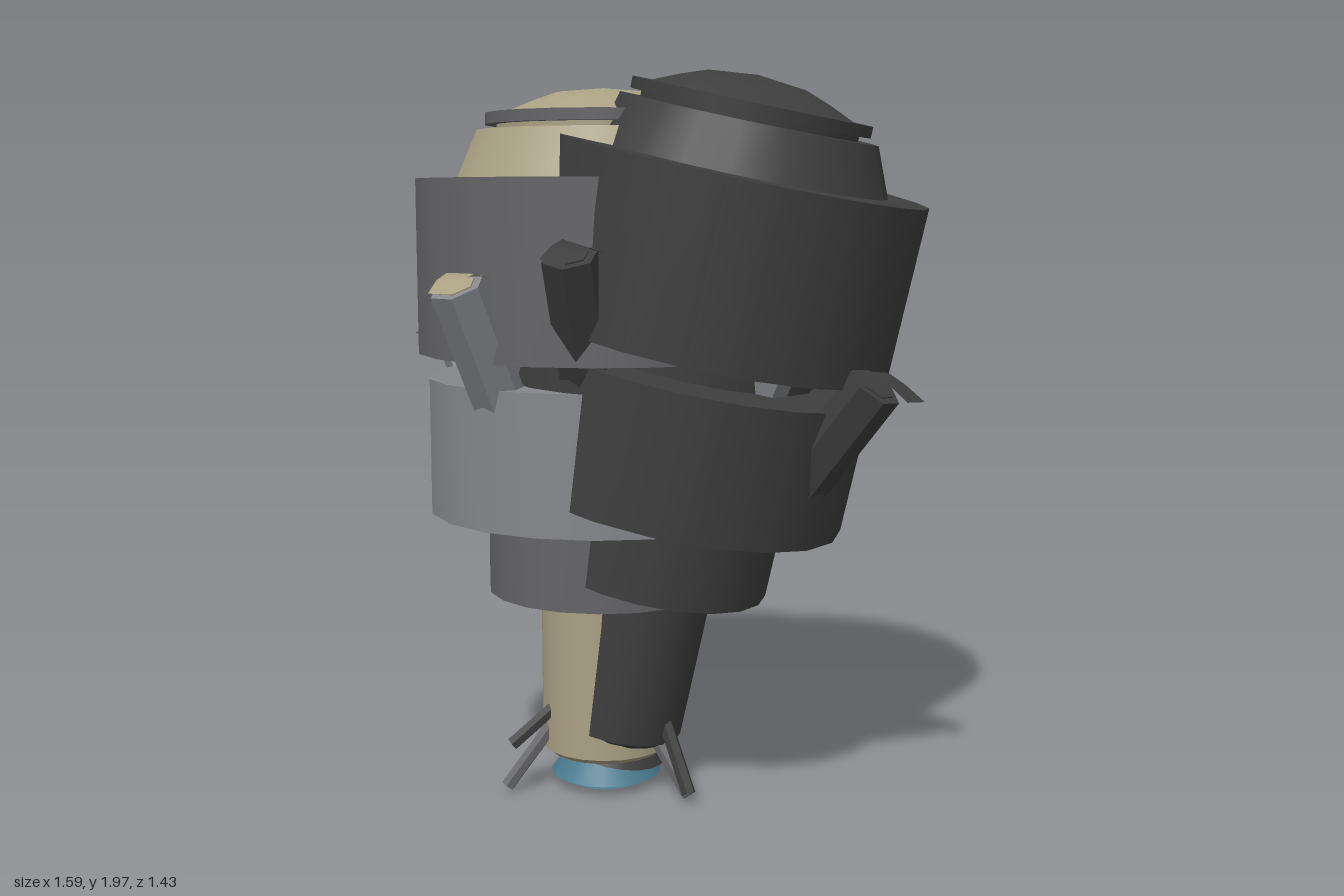
import * as THREE from 'three';

const mat = (name, color, side = THREE.FrontSide) => {
  const m = new THREE.MeshStandardMaterial({ color, side });
  m.name = name;
  return m;
};

// Curved fin on the end of a thruster: outward is +z, the tip hooks to +x
function finGeometry() {
  const rows = [[-0.045, 0.055, 1.285, 0.49], [-0.04, 0.055, 1.3, 0.56], [-0.02, 0.055, 1.285, 0.615], [0.0, 0.08, 1.255, 0.665]];
  const pos = [], idx = [];
  rows.forEach(([x0, x1, y, z], i) => {
    pos.push(x0, y, z, x1, y, z);
    if (i) {
      const a = 2 * i - 2;
      idx.push(a, a + 2, a + 1, a + 1, a + 2, a + 3);
    }
  });
  const g = new THREE.BufferGeometry();
  g.setAttribute('position', new THREE.Float32BufferAttribute(pos, 3));
  g.setIndex(idx);
  g.computeVertexNormals();
  return g;
}

// One complete station, standing on its own axis
function buildStation(name, c) {
  const station = new THREE.Group();
  station.name = name;
  const add = (part, geometry, material, parent = station) => {
    const m = new THREE.Mesh(geometry, material);
    m.name = part;
    parent.add(m);
    return m;
  };
  // Upright drum from y0 to y1
  const drum = (part, rBottom, rTop, y0, y1, material) => {
    add(part, new THREE.CylinderGeometry(rTop, rBottom, y1 - y0, 20), material).position.y = (y0 + y1) / 2;
  };
  // Straight bar between two points
  const bar = (part, from, to, r, sides, material, parent) => {
    const a = new THREE.Vector3(...from), b = new THREE.Vector3(...to);
    const g = new THREE.CylinderGeometry(r, r, a.distanceTo(b), sides).toNonIndexed();
    g.rotateY(Math.PI / sides);
    g.computeVertexNormals();
    const m = add(part, g, material, parent);
    m.position.copy(a).add(b).multiplyScalar(0.5);
    m.quaternion.setFromUnitVectors(new THREE.Vector3(0, 1, 0), b.sub(a).normalize());
  };

  // Foot nozzle and column
  drum('nozzleTip', 0.1, 0.005, 0.01, 0.037, c.blue);
  drum('nozzle', 0.155, 0.11, 0.037, 0.108, c.blue);
  drum('columnFoot', 0.16, 0.178, 0.106, 0.122, c.beige);
  drum('column', 0.18, 0.18, 0.122, 0.6, c.beige);
  add('columnWindow', new THREE.BoxGeometry(0.05, 0.11, 0.1), c.blue).position.set(-0.164, 0.524, 0);

  // Core and the two wide rings
  drum('core', 0.325, 0.325, 0.575, 1.3, c.grey);
  drum('lowerRing', 0.483, 0.483, 0.805, 1.172, c.light);
  drum('upperRing', 0.51, 0.51, 1.24, 1.702, c.grey);

  // Stepped roof with a shallow dome
  drum('roofSlope', 0.4, 0.345, 1.702, 1.83, c.beige);
  drum('roofNeck', 0.29, 0.29, 1.83, 1.85, c.beige);
  drum('roofRim', 0.32, 0.32, 1.845, 1.875, c.grey);
  const dome = [[0.27, 1.875], [0.2, 1.905], [0.13, 1.93], [0, 1.943]].map(p => new THREE.Vector2(...p));
  add('dome', new THREE.LatheGeometry(dome, 20), c.beige);

  // Three splayed legs
  for (let i = 0; i < 3; i++) {
    const a = i * Math.PI * 2 / 3, x = Math.cos(a), z = Math.sin(a);
    bar('leg', [0.15 * x, 0.2, 0.15 * z], [0.295 * x, 0.025, 0.295 * z], 0.02, 6, c.grey);
  }

  // Four thrusters, the front and back pair set higher
  for (let i = 0; i < 4; i++) {
    const thruster = new THREE.Group();
    thruster.name = 'thruster';
    thruster.rotation.y = i * Math.PI / 2;
    thruster.position.y = i % 2 ? 0 : 0.168;
    station.add(thruster);
    bar('thrusterTube', [0, 0.95, 0.41], [0, 1.267, 0.566], 0.071, 6, c.light, thruster);
    bar('thrusterMouth', [0, 1.26, 0.563], [0, 1.27, 0.568], 0.048, 6, c.beige, thruster);
    add('thrusterFin', finGeometry(), c.fin, thruster);
  }
  return station;
}

export function createModel() {
  const model = new THREE.Group();
  model.name = 'twinStation';
  const beige = 0xaaa183;
  const main = buildStation('paintedStation', {
    beige: mat('beige', beige),
    fin: mat('beigeFin', beige, THREE.DoubleSide),
    grey: mat('midGrey', 0x646467),
    light: mat('lightGrey', 0x85878b),
    blue: mat('tealBlue', 0x4a7b8f),
  });
  main.position.set(-0.13, 0, 0.045);

  // The dark twin leans out of the first one
  const dark = mat('charcoal', 0x3e3e3e);
  const darkFin = mat('charcoalFin', 0x3e3e3e, THREE.DoubleSide);
  const twin = buildStation('darkStation', { beige: dark, fin: darkFin, grey: dark, light: dark, blue: dark });
  twin.position.set(-0.12, 0.07, 0.04);
  twin.rotation.set(-0.065, -0.05, -0.21, 'XZY');

  model.add(main, twin);
  return model;
}
